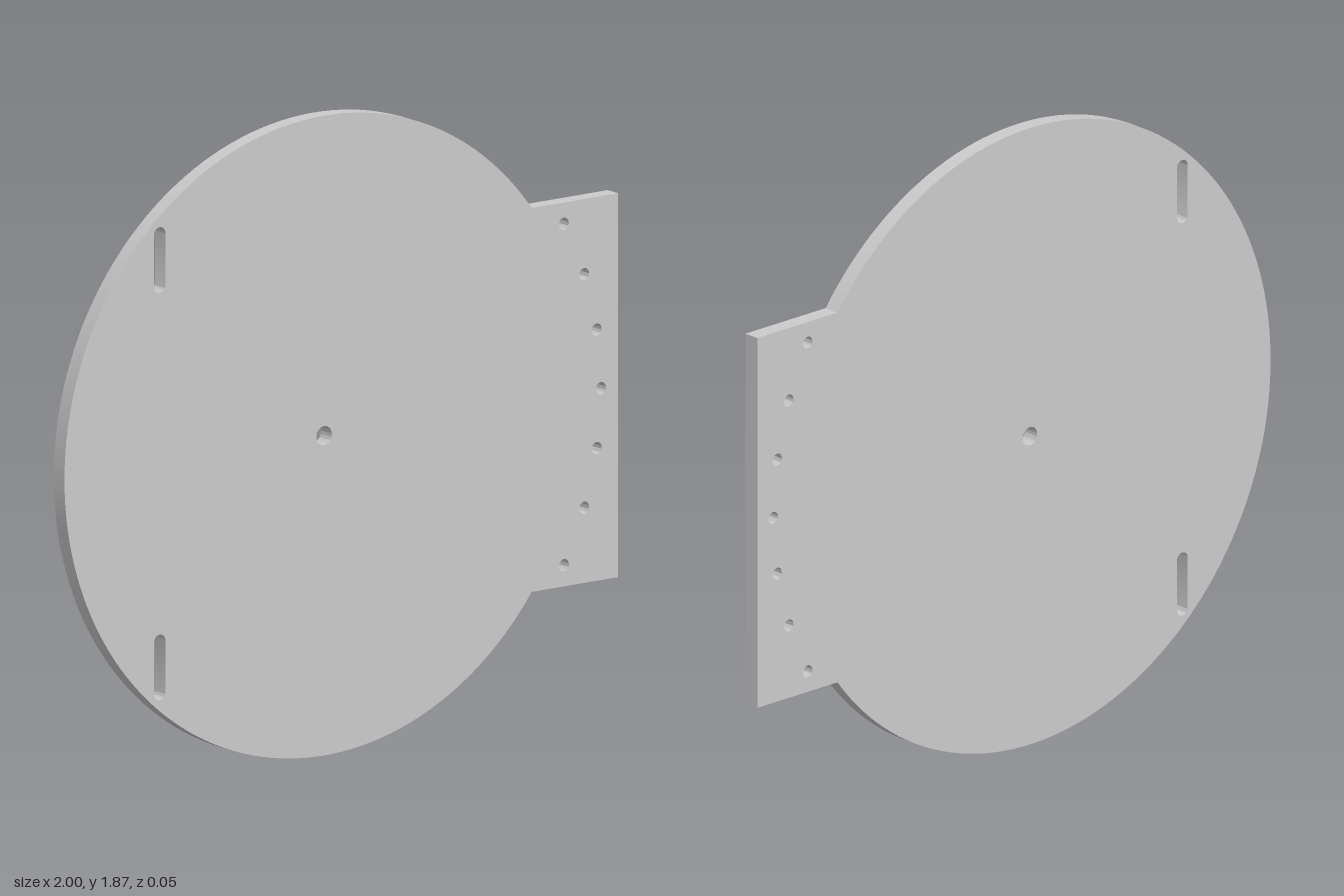
import * as THREE from 'three';
import { toCreasedNormals } from 'three/addons/utils/BufferGeometryUtils.js';

const CX = -0.0625, CY = 0.9375; // disc centre
const RADIUS = 0.9375;
const TAB_HALF = 0.5625; // half height of the side tab
const THICKNESS = 0.05;

function roundHole(x, y, r) {
  return new THREE.Path().absarc(x, y, r, 0, Math.PI * 2, true);
}

// Upright slot with rounded ends
function slot(x, y, r, halfStraight) {
  const path = new THREE.Path();
  path.absarc(x, y + halfStraight, r, 0, Math.PI, false);
  path.absarc(x, y - halfStraight, r, Math.PI, Math.PI * 2, false);
  path.closePath();
  return path;
}

export function createModel() {
  const group = new THREE.Group();
  group.name = 'indexPlate';

  // Disc outline merging into a rectangular tab on +x
  const a = Math.asin(TAB_HALF / RADIUS);
  const outline = new THREE.Shape();
  outline.moveTo(1, CY - TAB_HALF);
  outline.lineTo(1, CY + TAB_HALF);
  outline.absarc(CX, CY, RADIUS, a, Math.PI * 2 - a, false);
  outline.closePath();

  // Pivot hole
  outline.holes.push(roundHole(CX, CY, 0.028));

  // Arc of index holes, every 10 degrees
  for (let i = -3; i <= 3; i++) {
    const t = THREE.MathUtils.degToRad(i * 10);
    outline.holes.push(roundHole(CX + Math.cos(t), CY + Math.sin(t), 0.018));
  }

  // Mirrored pair of slots
  for (const s of [-1, 1]) outline.holes.push(slot(-0.656, CY + s * 0.597, 0.021, 0.075));

  const geometry = new THREE.ExtrudeGeometry(outline, {
    depth: THICKNESS, bevelEnabled: false, curveSegments: 64,
  });
  geometry.translate(0, 0, -THICKNESS / 2);

  const plate = new THREE.Mesh(
    toCreasedNormals(geometry, Math.PI / 6),
    new THREE.MeshStandardMaterial({ color: 0xcccccc }),
  );
  plate.name = 'plate';
  group.add(plate);
  return group;
}
